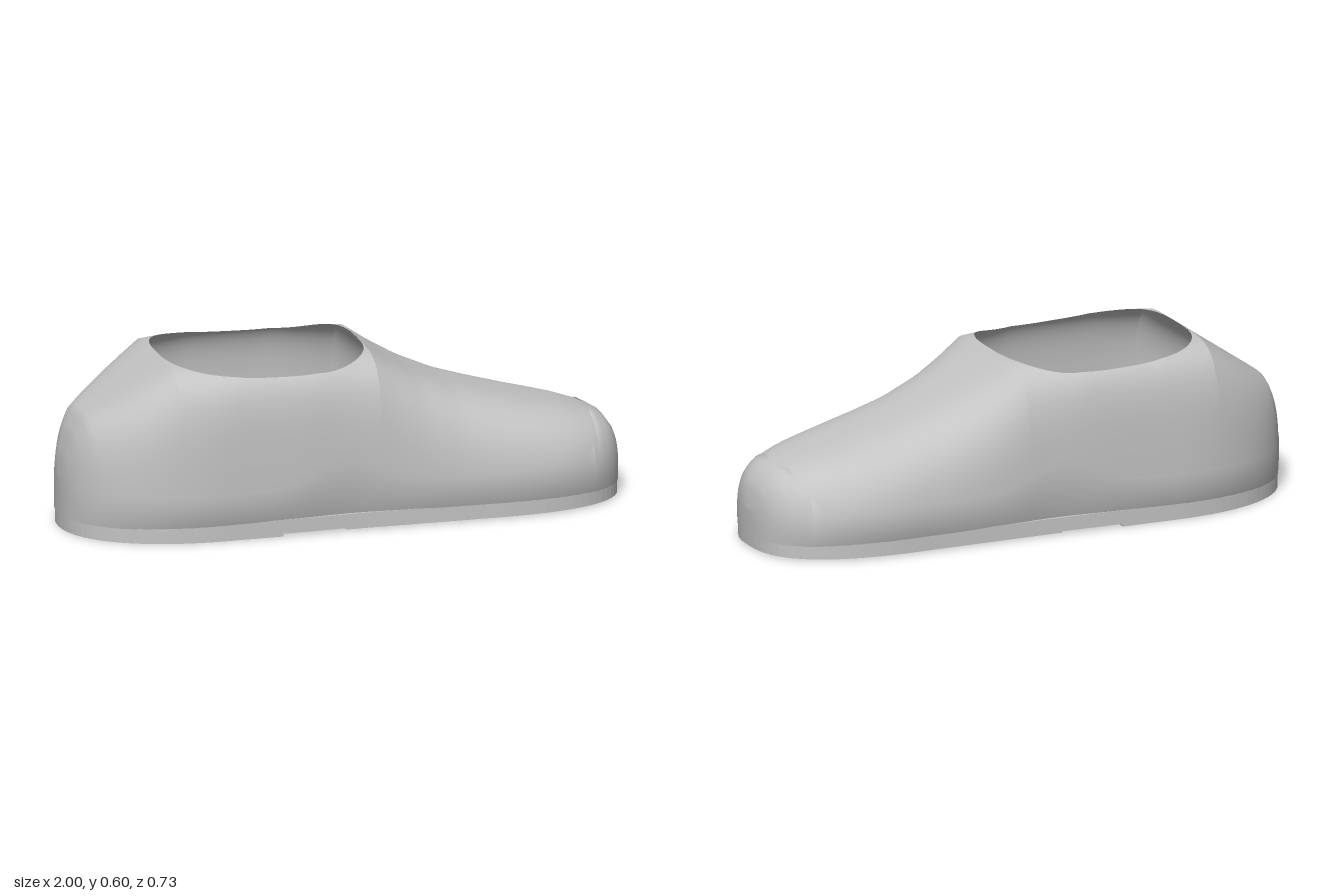
import * as THREE from 'three';
import { mergeGeometries, mergeVertices } from 'three/addons/utils/BufferGeometryUtils.js';

const SOLE_TOP = 0.055;
const OPEN_BACK = -0.645, OPEN_FRONT = 0.075;

// Piecewise-linear curve through [x, value] pairs
function curve(points) {
  return (x) => {
    if (x <= points[0][0]) return points[0][1];
    for (let i = 1; i < points.length; i++) {
      const [x0, a] = points[i - 1], [x1, b] = points[i];
      if (x <= x1) return a + (b - a) * (x - x0) / (x1 - x0);
    }
    return points[points.length - 1][1];
  };
}

// Side profile, roundness of the cross-section, and height of the rand seam
const topHeight = curve([[-1, 0.19], [-0.99, 0.27], [-0.965, 0.35], [-0.93, 0.41], [-0.645, 0.607],
  [-0.5, 0.612], [-0.35, 0.615], [-0.15, 0.615], [0, 0.61], [0.075, 0.607], [0.15, 0.558], [0.25, 0.502],
  [0.38, 0.447], [0.5, 0.41], [0.65, 0.369], [0.8, 0.332], [0.9, 0.3], [0.95, 0.27], [0.985, 0.22], [1, 0.14]]);
const roundness = curve([[-1, 0.6], [-0.93, 0.54], [-0.645, 0.4], [-0.45, 0.32], [-0.15, 0.32], [0.075, 0.42],
  [0.25, 0.57], [0.4, 0.65], [0.6, 0.68], [1, 0.7]]);
const seamHeight = curve([[-1, 0.185], [-0.3, 0.187], [-0.22, 0.205], [-0.1, 0.255], [-0.03, 0.268],
  [0.05, 0.26], [0.3, 0.215], [0.6, 0.18], [0.8, 0.168], [0.83, 0.18], [0.86, 0.215], [0.885, 0.26], [0.9, 0.4]]);
const waist = curve([[-0.5, 0.36], [-0.2, 0.352], [0, 0.342], [0.45, 0.337]]);

// Half width of the plan outline, rounded at heel and toe
function halfWidth(x) {
  const [s, n] = x < -0.5 ? [(-0.5 - x) / 0.5, 2.2] : x > 0.45 ? [(x - 0.45) / 0.55, 2.6] : [0, 2];
  return waist(x) * Math.pow(Math.max(0, 1 - Math.pow(s, n)), 1 / n);
}

// Half width of the foot opening
function openingWidth(x) {
  const s = Math.abs(x - (OPEN_BACK + OPEN_FRONT) / 2) / ((OPEN_FRONT - OPEN_BACK) / 2);
  return 0.305 * Math.pow(Math.max(0, 1 - Math.pow(s, 3)), 1 / 3);
}

// Lengthwise stations, closer together at the heel, opening ends and toe
function stations() {
  const xs = [];
  [[-1, OPEN_BACK], [OPEN_BACK, OPEN_FRONT], [OPEN_FRONT, 1]].forEach(([a, b], part) => {
    for (let i = part ? 1 : 0; i <= 40; i++) xs.push(a + (b - a) * (1 - Math.cos(Math.PI * i / 40)) / 2);
  });
  return xs;
}

// Point on the upper; t runs from the sole edge (0) to the centre line (PI / 2)
function upperPoint(x, t, side, swell) {
  const e = roundness(x);
  const y = SOLE_TOP + (topHeight(x) - SOLE_TOP) * Math.pow(Math.sin(t), e);
  // The wall tucks in towards the sole, most of all at the arch
  const arch = Math.exp(-Math.pow((x + 0.05) / 0.18, 2));
  const tuck = 1 - (0.065 + 0.035 * arch) * Math.pow(Math.max(0, 1 - (y - SOLE_TOP) / (0.12 + 0.09 * arch)), 2);
  const z = halfWidth(x) * Math.pow(Math.max(0, Math.cos(t)), e) * tuck;
  return [x * (1 + swell * 0.1), y + swell * 0.4 * Math.sin(t), side * z * (1 + swell)];
}

// Loft both halves up to the angle tMax(x) and weld them along the centre line
function loft(tMax, swell) {
  const xs = stations(), rows = 32;
  const halves = [1, -1].map((side) => {
    const pos = [], index = [];
    xs.forEach((x, i) => {
      for (let j = 0; j <= rows; j++) {
        const u = j / rows;
        pos.push(...upperPoint(x, tMax(x) * u * u * u * (u * (6 * u - 15) + 10), side, swell));
        if (i && j) {
          const d = i * (rows + 1) + j, c = d - 1, b = d - rows - 1, a = b - 1;
          index.push(...(side > 0 ? [a, c, d, a, d, b] : [a, d, c, a, b, d]));
        }
      }
    });
    const g = new THREE.BufferGeometry();
    g.setAttribute('position', new THREE.Float32BufferAttribute(pos, 3));
    g.setIndex(index);
    return g;
  });
  const whole = mergeVertices(mergeGeometries(halves), 1e-5);
  whole.computeVertexNormals();
  return whole;
}

// Flat plate between two x positions, pierced by small five-sided holes
function plate(x0, x1, bottom, top, holes = []) {
  const pts = [], n = 40;
  for (let i = 0; i <= n; i++) {
    const x = x0 + (x1 - x0) * (1 - Math.cos(Math.PI * i / n)) / 2;
    pts.push(new THREE.Vector2(x * 0.998, halfWidth(x) * 0.95));
  }
  const other = pts.filter((p) => p.y > 1e-4).map((p) => new THREE.Vector2(p.x, -p.y)).reverse();
  const shape = new THREE.Shape([...pts, ...other]);
  holes.forEach(([hx, hz], k) => {
    const ring = [];
    for (let i = 0; i < 5; i++) {
      const a = -i * Math.PI * 2 / 5 + k;
      ring.push(new THREE.Vector2(hx + 0.038 * Math.cos(a), hz + 0.03 * Math.sin(a)));
    }
    shape.holes.push(new THREE.Path(ring));
  });
  const g = new THREE.ExtrudeGeometry(shape, { depth: top - bottom, bevelEnabled: false });
  g.rotateX(Math.PI / 2);
  g.translate(0, top, 0);
  return g;
}

export function createModel() {
  const grey = new THREE.MeshStandardMaterial({ color: 0xc4c4c4, side: THREE.DoubleSide });
  grey.name = 'grey';
  const shoe = new THREE.Group();
  shoe.name = 'shoe';
  const add = (name, geometry) => {
    const mesh = new THREE.Mesh(geometry, grey);
    mesh.name = name;
    shoe.add(mesh);
  };

  // Upper, cut off along the rim of the foot opening
  add('upper', loft((x) => {
    const open = Math.min(1, openingWidth(x) / Math.max(halfWidth(x), 0.01));
    return Math.acos(Math.pow(open, 1 / roundness(x)));
  }, 0));

  // Raised rand around the base, rising over the whole toe cap
  add('rand', loft((x) => {
    const f = (seamHeight(x) - SOLE_TOP) / (topHeight(x) - SOLE_TOP);
    return Math.asin(Math.pow(Math.min(1, f), 1 / roundness(x)));
  }, 0.009));

  // Insole closing the pits from above
  add('insole', plate(-0.97, 0.97, SOLE_TOP, 0.065));

  // Sole in three sections, the arch slightly raised
  add('heelSole', plate(-1, -0.28, 0.005, SOLE_TOP,
    [[-0.55, -0.23], [-0.35, -0.27], [-0.55, 0], [-0.39, 0], [-0.55, 0.22], [-0.35, 0.26], [-0.8, 0.1], [-0.8, -0.12]]));
  add('archSole', plate(-0.28, -0.05, 0.015, SOLE_TOP, [[-0.23, 0], [-0.1, 0.14]]));
  add('forefootSole', plate(-0.05, 1, 0.01, SOLE_TOP,
    [[0, 0], [0.05, -0.2], [0.05, 0.19], [0.23, 0.03], [0.4, 0.22], [0.42, -0.25], [0.55, 0], [0.72, 0.2],
      [0.72, -0.2], [0.87, 0.11], [0.88, -0.13]]));
  return shoe;
}
